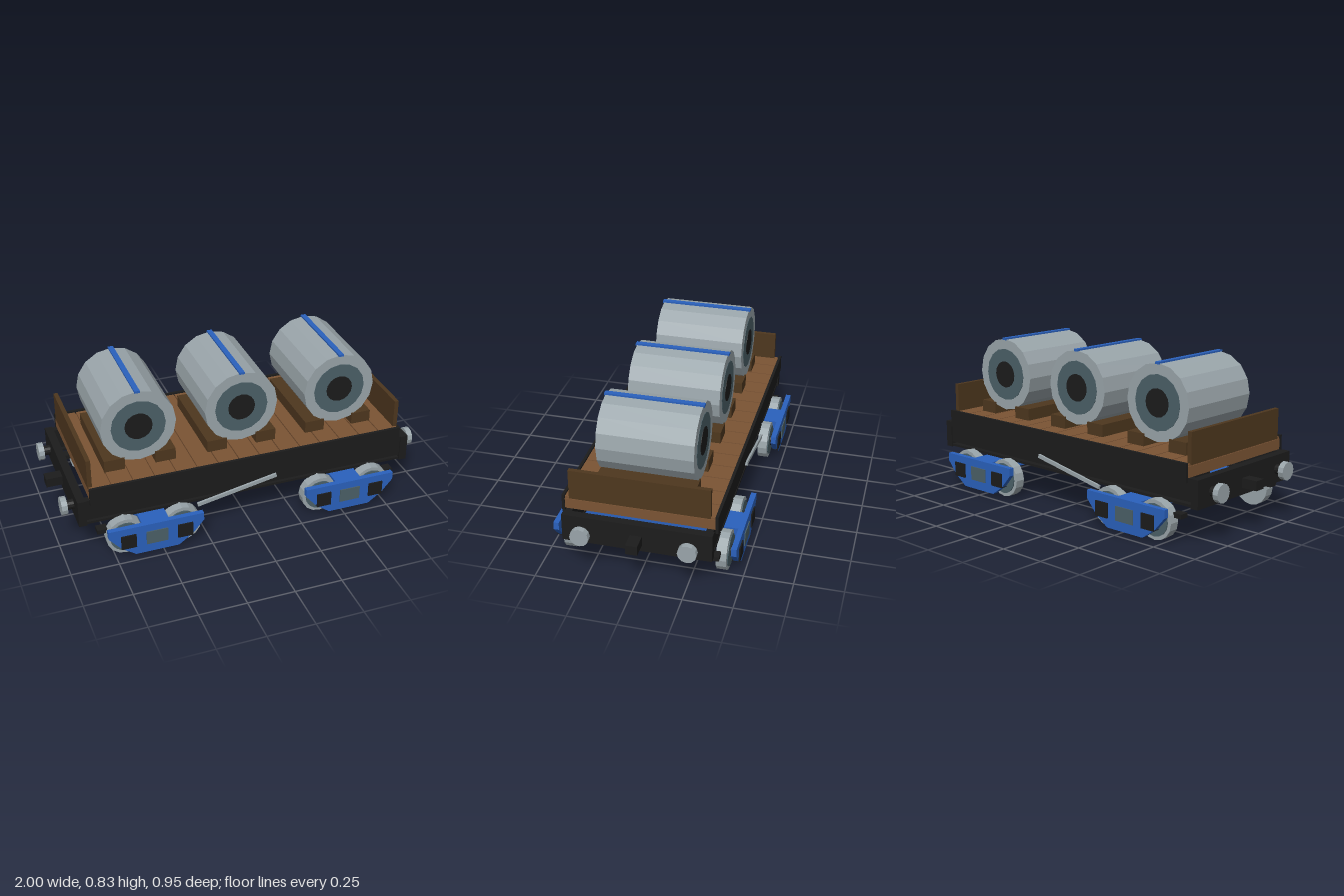
import * as THREE from 'three';

const mat = (name, color) => {
  const m = new THREE.MeshStandardMaterial({ color, flatShading: true });
  m.name = name;
  return m;
};

export function createModel() {
  const root = new THREE.Group();
  root.name = 'coilWagon';
  const black = mat('black iron', 0x1c1c1c);
  const blue = mat('blue paint', 0x2a61bd);
  const steel = mat('steel', 0x9aa5aa);
  const slate = mat('slate steel', 0x4b6068);
  const wood = mat('deck wood', 0x7b5434);
  const darkWood = mat('dark wood', 0x4e371e);

  const add = (parent, name, geo, material, x = 0, y = 0, z = 0) => {
    const m = new THREE.Mesh(geo, material);
    m.name = name;
    m.position.set(x, y, z);
    parent.add(m);
    return m;
  };
  // box given by its minimum and maximum on each axis
  const box = (parent, name, material, x0, x1, y0, y1, z0, z1) =>
    add(parent, name, new THREE.BoxGeometry(x1 - x0, y1 - y0, z1 - z0), material,
      (x0 + x1) / 2, (y0 + y1) / 2, (z0 + z1) / 2);
  const cylZ = (r, len, n = 16) => new THREE.CylinderGeometry(r, r, len, n).rotateX(Math.PI / 2);
  const cylX = (r, len, n = 12) => new THREE.CylinderGeometry(r, r, len, n).rotateZ(Math.PI / 2);
  // box at +z or -z, spanning a to b outward
  const sideBox = (parent, name, material, s, x0, x1, y0, y1, a, b) =>
    box(parent, name, material, x0, x1, y0, y1, Math.min(s * a, s * b), Math.max(s * a, s * b));

  // Deck with planks
  const deck = new THREE.Group();
  deck.name = 'deck';
  root.add(deck);
  box(deck, 'deckBase', wood, -0.85, 0.85, 0.33, 0.385, -0.377, 0.377);
  const planks = 15, pitch = 1.7 / planks;
  for (let i = 0; i < planks; i++) {
    const x = -0.85 + i * pitch;
    box(deck, 'plank', wood, x + 0.003, x + pitch - 0.003, 0.385, 0.396, -0.377, 0.377);
  }

  // Underframe: side rails, sole bars, lower strips, brake rods
  for (const s of [-1, 1]) {
    sideBox(root, 'sideRail', black, s, -0.853, 0.853, 0.31, 0.405, 0.376, 0.391);
    sideBox(root, 'soleBar', black, s, -0.88, 0.88, 0.215, 0.33, 0.335, 0.37);
    sideBox(root, 'lowerStrip', black, s, -0.88, 0.88, 0.19, 0.203, 0.335, 0.37);
    const rod = add(root, 'brakeRod', new THREE.BoxGeometry(0.445, 0.02, 0.012), steel,
      -0.073, 0.22, s * 0.384);
    rod.rotation.z = Math.atan2(0.085, 0.435);
  }

  // Ends: beam, coupler, buffers, end board
  for (const e of [-1, 1]) {
    const end = new THREE.Group();
    end.name = 'wagonEnd';
    end.rotation.y = e > 0 ? 0 : Math.PI;
    root.add(end);
    box(end, 'endBeam', black, 0.872, 0.914, 0.186, 0.332, -0.376, 0.376);
    box(end, 'coupler', black, 0.91, 1, 0.222, 0.272, -0.03, 0.03);
    box(end, 'endBoard', darkWood, 0.83, 0.853, 0.39, 0.55, -0.353, 0.353);
    for (const s of [-1, 1]) {
      add(end, 'bufferStem', cylX(0.026, 0.05), black, 0.932, 0.258, s * 0.267);
      add(end, 'bufferHead', cylX(0.048, 0.03), steel, 0.966, 0.258, s * 0.267);
    }
  }

  // Steel coils on chocks
  for (const x of [-0.55, 0, 0.55]) {
    const coil = new THREE.Group();
    coil.name = 'coil';
    coil.position.x = x;
    root.add(coil);
    add(coil, 'coilBody', cylZ(0.198, 0.488), steel, 0, 0.628, 0);
    add(coil, 'coilInnerFace', cylZ(0.143, 0.493), slate, 0, 0.628, 0);
    add(coil, 'coilCore', cylZ(0.073, 0.498), black, 0, 0.628, 0);
    box(coil, 'strap', blue, -0.014, 0.014, 0.82, 0.832, -0.251, 0.251);
    for (const s of [-1, 1])
      box(coil, 'chock', darkWood, s * 0.135 - 0.054, s * 0.135 + 0.054, 0.39, 0.46, -0.252, 0.252);
  }

  // Bogies
  const frameShape = new THREE.Shape([
    [-0.252, 0.182], [-0.252, 0.14], [-0.19, 0.068], [-0.115, 0.015],
    [0.115, 0.015], [0.19, 0.068], [0.252, 0.14], [0.252, 0.182],
  ].map(([x, y]) => new THREE.Vector2(x, y)));
  const frameGeo = new THREE.ExtrudeGeometry(frameShape, { depth: 0.028, bevelEnabled: false });
  for (const e of [-1, 1]) {
    const bogie = new THREE.Group();
    bogie.name = 'bogie';
    bogie.position.x = e * 0.537;
    root.add(bogie);
    // Bolster: a channel open below
    box(bogie, 'bolsterTop', blue, -0.072, 0.072, 0.164, 0.178, -0.445, 0.445);
    for (const s of [-1, 1])
      box(bogie, 'bolsterWeb', blue, s * 0.063 - 0.009, s * 0.063 + 0.009, 0.118, 0.166, -0.445, 0.445);
    box(bogie, 'pivot', black, -0.072, 0.072, 0.178, 0.22, -0.11, 0.11);
    for (const s of [-1, 1]) {
      add(bogie, 'sideFrame', frameGeo, blue, 0, 0, s > 0 ? 0.441 : -0.469);
      sideBox(bogie, 'springBox', slate, s, -0.057, 0.057, 0.065, 0.14, 0.465, 0.474);
      for (const w of [-0.15, 0.15]) {
        add(bogie, 'wheel', cylZ(0.102, 0.053), steel, w, 0.102, s * 0.392);
        add(bogie, 'wheelFace', cylZ(0.083, 0.008), slate, w, 0.102, s * 0.42);
        add(bogie, 'axleStub', cylZ(0.03, 0.03, 12), black, w, 0.102, s * 0.43);
        sideBox(bogie, 'axleBox', black, s, w - 0.04, w + 0.04, 0.064, 0.142, 0.436, 0.476);
      }
      const stub = [e * 0.235, e * 0.29].sort((a, b) => a - b);
      sideBox(bogie, 'brakeBlock', black, s, stub[0], stub[1], 0.126, 0.15, 0.342, 0.39);
    }
  }
  return root;
}
